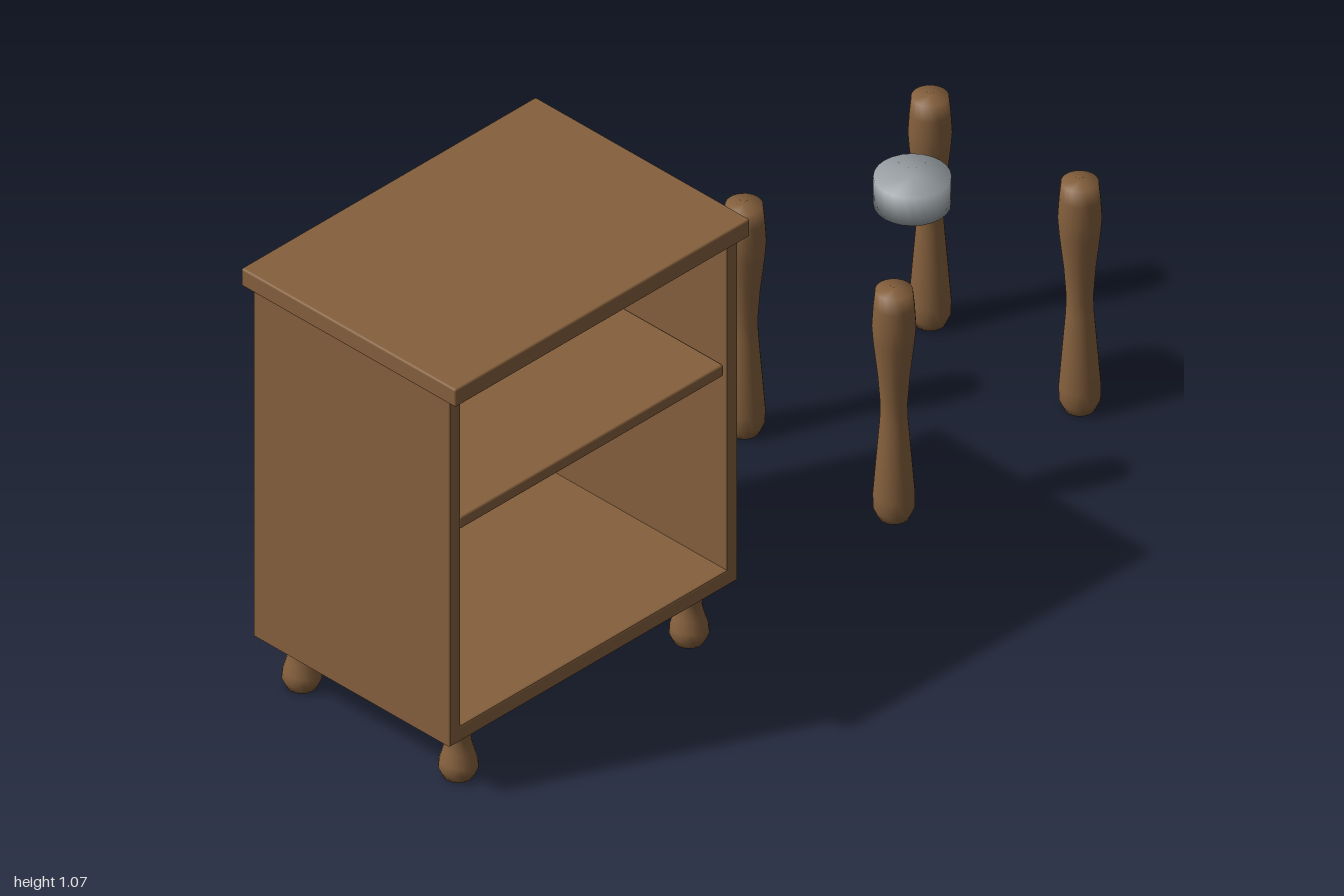
import * as THREE from 'three';
import { RoundedBoxGeometry } from 'three/addons/geometries/RoundedBoxGeometry.js';

export function createModel() {
  const root = new THREE.Group();
  root.name = 'furnitureSet';
  const wood = new THREE.MeshStandardMaterial({ color: 0x85603d });
  wood.name = 'brown wood';
  const metal = new THREE.MeshStandardMaterial({ color: 0x9aa1a5 });
  metal.name = 'grey metal';

  const add = (parent, name, geometry, material, x, y, z) => {
    const mesh = new THREE.Mesh(geometry, material);
    mesh.name = name;
    mesh.position.set(x, y, z);
    parent.add(mesh);
    return mesh;
  };
  const board = (w, h, d) => new RoundedBoxGeometry(w, h, d, 2, 0.005);
  // closed turned shape from a smooth [radius, height] profile
  const turned = (pts, segments) =>
    new THREE.LatheGeometry(pts.map(([r, y]) => new THREE.Vector2(r, y)), segments);

  // Cabinet
  const cabinet = new THREE.Group();
  cabinet.name = 'cabinet';
  cabinet.position.x = -0.5625;
  root.add(cabinet);

  // sides and floor as one U-shaped carcass, softened at the edges
  const w = 0.4275, inner = 0.395, bottom = 0.14, floor = 0.18, top = 1.03;
  const outline = new THREE.Shape([
    [-w, bottom], [w, bottom], [w, top], [inner, top],
    [inner, floor], [-inner, floor], [-inner, top], [-w, top],
  ].map(([x, y]) => new THREE.Vector2(x, y)));
  const bevel = 0.005;
  const carcass = new THREE.ExtrudeGeometry(outline, {
    depth: 0.58 - 2 * bevel, bevelEnabled: true, bevelSize: bevel,
    bevelThickness: bevel, bevelOffset: -bevel, bevelSegments: 2,
  });
  add(cabinet, 'carcass', carcass, wood, 0, 0, -0.29 + bevel);
  add(cabinet, 'backPanel', new THREE.BoxGeometry(0.805, 0.86, 0.034), wood, 0, 0.6, -0.2725);
  add(cabinet, 'shelf', board(0.782, 0.03, 0.54), wood, 0, 0.69, 0.013);
  add(cabinet, 'cabinetTop', board(0.875, 0.045, 0.63), wood, 0, 1.0475, 0);

  // short turned feet
  const foot = turned([
    [0, 0], [0.033, 0], [0.043, 0.022], [0.041, 0.04], [0.033, 0.068],
    [0.027, 0.093], [0.03, 0.115], [0.038, 0.135], [0.038, 0.145], [0, 0.145],
  ], 20);
  for (const x of [-0.3425, 0.3425])
    for (const z of [-0.23, 0.23]) add(cabinet, 'cabinetFoot', foot, wood, x, 0, z);

  // Tall turned legs
  const leg = turned([
    [0, 0], [0.033, 0], [0.044, 0.025], [0.045, 0.06], [0.038, 0.15],
    [0.03, 0.25], [0.029, 0.29], [0.034, 0.36], [0.044, 0.45],
    [0.047, 0.49], [0.044, 0.54], [0.04, 0.578], [0, 0.578],
  ], 20);
  for (const x of [0.4, 0.952])
    for (const z of [-0.222, 0.218]) add(root, 'tallLeg', leg, wood, x, 0, z);

  // Metal disc between the legs
  add(root, 'metalDisc', turned([[0, 0], [0.082, 0], [0.082, 0.07], [0, 0.07]], 24),
    metal, 0.675, 0.552, 0);

  return root;
}
